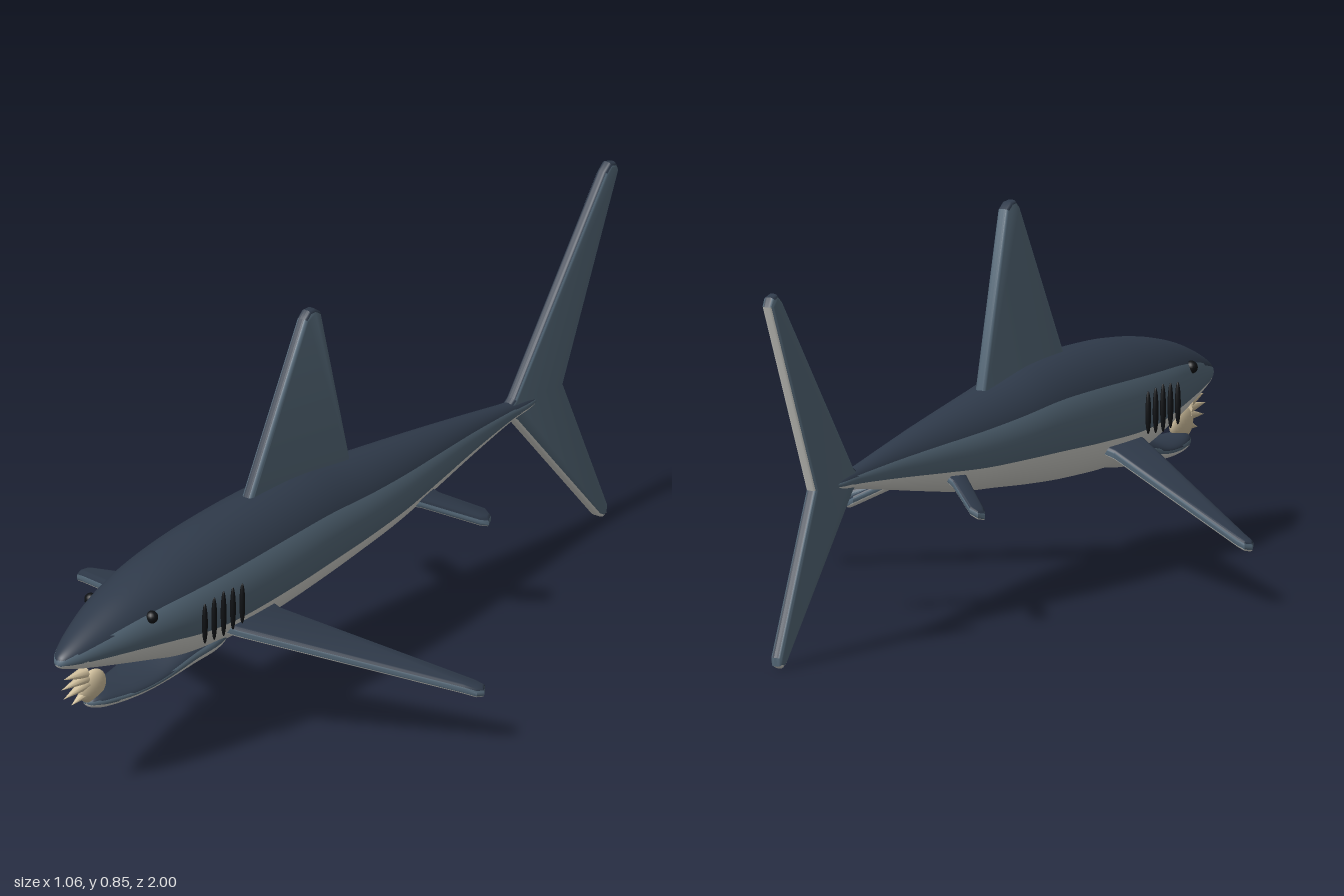
import * as THREE from 'three';
import { toCreasedNormals } from 'three/addons/utils/BufferGeometryUtils.js';

const mat = (name, color) => {
  const m = new THREE.MeshStandardMaterial({ color });
  m.name = name;
  return m;
};

export function createModel() {
  const model = new THREE.Group();
  model.name = 'shark';
  const back = mat('back navy', 0x2f3a4a);
  const flank = mat('flank slate', 0x566a7a);
  const belly = mat('belly pale grey', 0xd6d6d0);
  const black = mat('black', 0x0e1013);
  const ivory = mat('tooth ivory', 0xd6c5a2);

  const add = (name, geometry, material) => {
    const mesh = new THREE.Mesh(geometry, material);
    mesh.name = name;
    model.add(mesh);
    return mesh;
  };

  // Countershading: sort faces into back, flank and belly by how far they face up or down
  const addShaded = (name, geo) => {
    const p = geo.attributes.position;
    const src = geo.index ? Array.from(geo.index.array) : Array.from({ length: p.count }, (_, i) => i);
    const buckets = [[], [], []];
    const tri = new THREE.Triangle(), n = new THREE.Vector3();
    for (let i = 0; i < src.length; i += 3) {
      tri.setFromAttributeAndIndices(p, src[i], src[i + 1], src[i + 2]);
      tri.getNormal(n);
      buckets[n.y > 0.42 ? 0 : n.y < -0.35 ? 2 : 1].push(src[i], src[i + 1], src[i + 2]);
    }
    geo.clearGroups();
    geo.setIndex(buckets.flat());
    let start = 0;
    buckets.forEach((b, i) => {
      geo.addGroup(start, b.length, i);
      start += b.length;
    });
    return add(name, geo, [back, flank, belly]);
  };

  // Smooth loft through oval sections [z, top, bottom, halfWidth], front to back
  const loft = (sections, rings, sides = 64) => {
    const heights = new THREE.SplineCurve(sections.map(s => new THREE.Vector2(s[1], s[2])));
    const widths = new THREE.SplineCurve(sections.map(s => new THREE.Vector2(s[0], s[3])));
    const pos = [], idx = [];
    for (let i = 0; i <= rings; i++) {
      const h = heights.getPoint(i / rings), w = widths.getPoint(i / rings);
      const mid = (h.x + h.y) / 2, r = (h.x - h.y) / 2;
      for (let j = 0; j < sides; j++) {
        const a = (j / sides) * Math.PI * 2;
        pos.push(Math.cos(a) * w.y, mid + Math.sin(a) * r, w.x);
        if (i === rings) continue;
        const a0 = i * sides + j, b0 = i * sides + ((j + 1) % sides);
        idx.push(a0, a0 + sides, b0, b0, a0 + sides, b0 + sides);
      }
    }
    const g = new THREE.BufferGeometry();
    g.setAttribute('position', new THREE.Float32BufferAttribute(pos, 3));
    g.setIndex(idx);
    g.computeVertexNormals();
    return g;
  };

  // Body and upper head
  addShaded('body', loft([
    [1.0, 0.338, 0.338, 0], [0.99, 0.357, 0.328, 0.016], [0.95, 0.38, 0.314, 0.037],
    [0.88, 0.41, 0.295, 0.06], [0.8, 0.437, 0.275, 0.081], [0.7, 0.46, 0.25, 0.1],
    [0.6, 0.475, 0.225, 0.111], [0.48, 0.485, 0.212, 0.117], [0.3, 0.489, 0.217, 0.117],
    [0.15, 0.483, 0.228, 0.111], [0, 0.462, 0.243, 0.1], [-0.15, 0.443, 0.258, 0.083],
    [-0.3, 0.424, 0.282, 0.062], [-0.45, 0.403, 0.308, 0.04], [-0.6, 0.38, 0.333, 0.022],
    [-0.68, 0.37, 0.342, 0.017], [-0.76, 0.356, 0.356, 0],
  ], 128));

  // Lower jaw
  addShaded('lowerJaw', loft([
    [0.895, 0.214, 0.214, 0], [0.885, 0.226, 0.202, 0.017], [0.85, 0.232, 0.193, 0.035],
    [0.78, 0.232, 0.19, 0.052], [0.7, 0.24, 0.192, 0.062], [0.6, 0.27, 0.198, 0.072],
    [0.5, 0.29, 0.21, 0.078], [0.4, 0.26, 0.24, 0.01],
  ], 56, 48));

  // Bevelled fin slab, centred on its own plane
  const slab = (points, thickness) => {
    const bevel = thickness * 0.38;
    const depth = thickness - 2 * bevel;
    const g = new THREE.ExtrudeGeometry(new THREE.Shape(points.map(p => new THREE.Vector2(...p))), {
      depth, bevelThickness: bevel, bevelSize: bevel, bevelOffset: -bevel, bevelSegments: 4,
    });
    return g.translate(0, 0, -depth / 2);
  };

  // Upright fins, outlined in (z, y)
  const uprightFin = (name, points) =>
    addShaded(name, toCreasedNormals(slab(points, 0.027).rotateY(-Math.PI / 2), 0.6));

  uprightFin('dorsalFin', [
    [0.34, 0.45], [0.325, 0.487], [0.125, 0.832], [0.108, 0.846], [0.088, 0.845],
    [0.068, 0.832], [-0.035, 0.46], [-0.03, 0.42],
  ]);
  uprightFin('tailFin', [
    [-0.59, 0.362], [-0.625, 0.385], [-0.95, 0.795], [-0.97, 0.81], [-0.99, 0.805], [-1.0, 0.785],
    [-0.8, 0.36], [-0.96, 0.025], [-0.957, 0.006], [-0.943, 0], [-0.925, 0.01], [-0.63, 0.33],
  ]);

  // Paired fins, outlined in (x, z) and sloping downwards away from the body
  const pairedFin = (name, side, points, thickness, rootX, rootY, slope) => {
    const g = slab(points.map(([x, z]) => [x * side, z]), thickness).rotateX(Math.PI / 2);
    const p = g.attributes.position;
    for (let i = 0; i < p.count; i++) {
      p.setY(i, p.getY(i) + rootY - slope * (Math.abs(p.getX(i)) - rootX));
    }
    addShaded(name, toCreasedNormals(g, 0.6));
  };

  for (const [label, side] of [['left', 1], ['right', -1]]) {
    pairedFin(label + 'PectoralFin', side, [
      [0.04, 0.55], [0.115, 0.505], [0.5, 0.228], [0.525, 0.212], [0.532, 0.195],
      [0.522, 0.178], [0.5, 0.182], [0.115, 0.355], [0.04, 0.35],
    ], 0.024, 0.1, 0.272, 0.333);
    pairedFin(label + 'PelvicFin', side, [
      [0.03, -0.16], [0.065, -0.215], [0.155, -0.305], [0.165, -0.322], [0.158, -0.34],
      [0.14, -0.345], [0.065, -0.28], [0.03, -0.27],
    ], 0.022, 0.065, 0.299, 0.55);

    // Eye
    const eye = add(label + 'Eye', new THREE.SphereGeometry(0.014, 16, 12), black);
    eye.position.set(side * 0.08, 0.39, 0.77);

    // Gill slits
    for (let i = 0; i < 5; i++) {
      const slit = add(label + 'GillSlit' + (i + 1), new THREE.SphereGeometry(1, 12, 16), black);
      slit.scale.set(0.006, 0.052 - 0.003 * Math.abs(i - 2), 0.007);
      slit.position.set(side * 0.12, 0.337, 0.634 - i * 0.0335);
    }
  }

  // Tooth pad in the mouth with pointed teeth facing forward
  const pad = add('toothPad', new THREE.SphereGeometry(1, 24, 16), ivory);
  pad.scale.set(0.017, 0.036, 0.045);
  pad.position.set(0, 0.248, 0.875);
  const teeth = [[0.292, 0.075, 0.94], [0.275, 0.085, 0.943], [0.256, 0.08, 0.938], [0.235, 0.06, 0.92]];
  teeth.forEach(([y, length, z], i) => {
    const tooth = add('tooth' + (i + 1), new THREE.ConeGeometry(0.014, length, 8), ivory);
    tooth.rotation.x = Math.PI / 2 + (i - 1) * 0.12;
    tooth.position.set(0, y, z);
  });

  return model;
}
